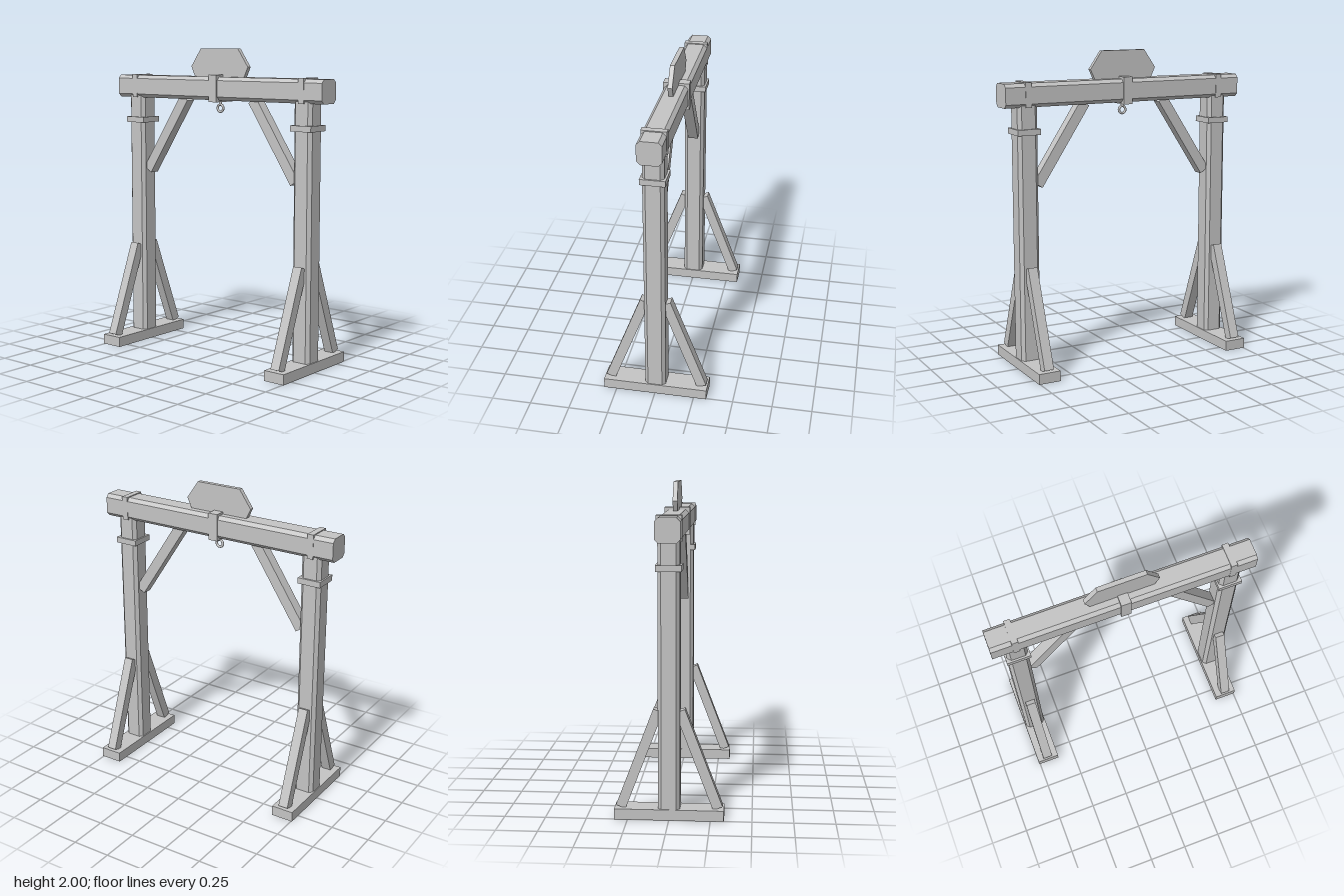
import * as THREE from 'three';

const timber = new THREE.MeshStandardMaterial({ color: 0xc4c4c4 });
timber.name = 'plain grey';

export function createModel() {
  const model = new THREE.Group();
  model.name = 'gantry';

  const add = (name, geometry, x = 0, y = 0, z = 0) => {
    const mesh = new THREE.Mesh(geometry, timber);
    mesh.name = name;
    mesh.position.set(x, y, z);
    model.add(mesh);
    return mesh;
  };
  const box = (name, w, h, d, x, y, z = 0) => add(name, new THREE.BoxGeometry(w, h, d), x, y, z);

  // Extrusion of an outline, centred along its depth
  const prism = (points, depth) => {
    const shape = new THREE.Shape(points.map(([x, y]) => new THREE.Vector2(x, y)));
    return new THREE.ExtrudeGeometry(shape, { depth, bevelEnabled: false }).translate(0, 0, -depth / 2);
  };
  // Square bar with chamfered long edges
  const chamferedBar = (a, b, c, length) => prism([
    [a, -b + c], [a, b - c], [a - c, b], [-a + c, b],
    [-a, b - c], [-a, -b + c], [-a + c, -b], [a - c, -b],
  ], length);

  // Top beam
  add('beam', chamferedBar(0.075, 0.074, 0.022, 1.67).rotateY(Math.PI / 2), 0, 1.747);

  // Supports, mirrored left and right
  for (const side of [-1, 1]) {
    const x = side * 0.684;
    box('foot', 0.145, 0.066, 0.662, x, 0.033);
    add('post', chamferedBar(0.066, 0.066, 0.021, 1.63).rotateX(Math.PI / 2), x, 0.875);
    box('postCollar', 0.152, 0.037, 0.156, x, 1.522);
    box('beamStrap', 0.04, 0.154, 0.153, x, 1.75);

    // Diagonal brace between post and beam
    const brace = box('beamBrace', 0.068, 0.596, 0.068, side * 0.446, 1.432);
    brace.rotation.z = side * 0.583;

    // Front and back braces on the foot
    for (const end of [-1, 1]) {
      const strut = box('footBrace', 0.063, 0.64, 0.062, x, 0.367, end * 0.18);
      strut.rotation.x = -end * 0.364;
    }
  }

  // Centre strap with hanging ring
  box('centreStrap', 0.064, 0.174, 0.164, 0, 1.748);
  add('ringStem', new THREE.CylinderGeometry(0.009, 0.009, 0.03, 12), 0, 1.654);
  add('hangingRing', new THREE.TorusGeometry(0.023, 0.008, 10, 24), 0, 1.62);

  // Upright plate on top of the beam
  add('crestPlate', prism([
    [-0.2, 1.815], [0.2, 1.815], [0.233, 1.885], [0.153, 2], [-0.153, 2], [-0.233, 1.885],
  ], 0.029));

  return model;
}
